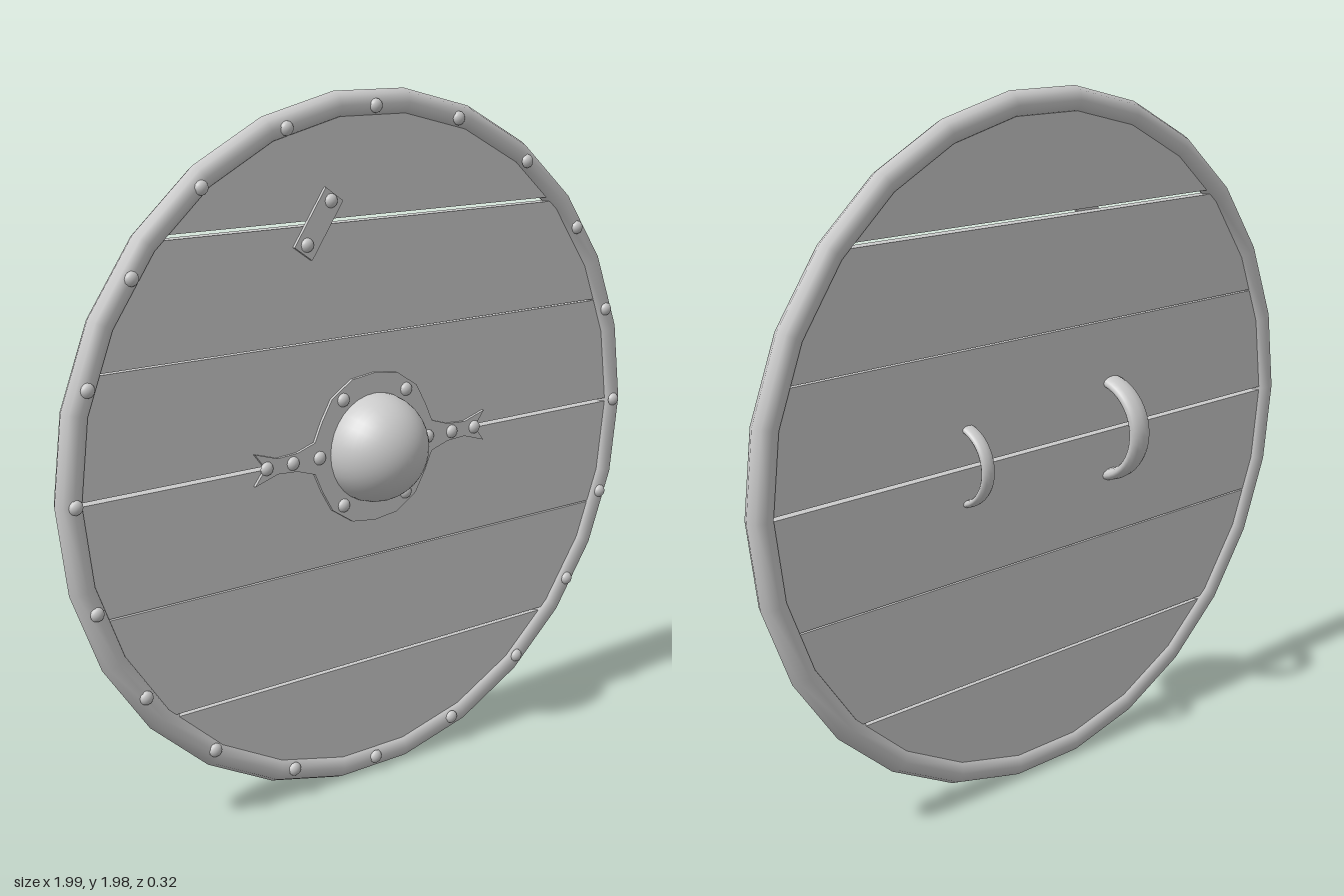
import * as THREE from 'three';

const CY = 0.993; // height of the shield centre

export function createModel() {
  const shield = new THREE.Group();
  shield.name = 'roundShield';
  const body = new THREE.Group();
  body.name = 'shieldBody';
  body.position.y = CY;
  shield.add(body);
  const mat = new THREE.MeshStandardMaterial({ color: 0xcccccc });

  const add = (name, geo, x = 0, y = 0, z = 0) => {
    const mesh = new THREE.Mesh(geo, mat);
    mesh.name = name;
    mesh.position.set(x, y, z);
    body.add(mesh);
    return mesh;
  };
  const plate = (shape, depth) => new THREE.ExtrudeGeometry(shape, { depth, bevelEnabled: false });

  // Rim: faceted ring, slightly flattened front to back
  const rim = new THREE.TorusGeometry(0.959, 0.038, 8, 26);
  rim.scale(1, 1, 0.87);
  add('rim', rim, 0, 0, -0.018);

  // Planks: horizontal slices of a disc, with [height, width] of the gaps between
  const R = 0.94;
  const gaps = [[-R, 0], [-0.64, 0.008], [-0.322, 0.004], [0, 0.01], [0.325, 0.004], [0.648, 0.013], [R, 0]];
  for (let i = 0; i < gaps.length - 1; i++) {
    const a0 = Math.asin((gaps[i][0] + gaps[i][1] / 2) / R);
    const a1 = Math.asin((gaps[i + 1][0] - gaps[i + 1][1] / 2) / R);
    const right = [];
    for (let k = 0; k <= 8; k++) {
      const a = a0 + (a1 - a0) * k / 8;
      right.push(new THREE.Vector2(R * Math.cos(a), R * Math.sin(a)));
    }
    const left = right.map(p => new THREE.Vector2(-p.x, p.y)).reverse();
    add('plank', plate(new THREE.Shape([...right, ...left]), 0.036), 0, 0, -0.036);
  }

  // Boss plate: round flange with two swallow-tailed arms, mirrored from one quadrant
  const q = [[0.41, 0.045], [0.335, 0.022], [0.27, 0.026], [0.21, 0.045], [0.185, 0.1],
    [0.15, 0.16], [0.08, 0.205], [0, 0.215]];
  const upper = [[0.375, 0], ...q, ...q.slice(0, -1).reverse().map(([x, y]) => [-x, y]), [-0.375, 0]];
  const lower = upper.slice(1, -1).reverse().map(([x, y]) => [x, -y]);
  const outline = [...upper, ...lower].map(([x, y]) => new THREE.Vector2(x, y));
  add('bossPlate', plate(new THREE.Shape(outline), 0.009));

  // Boss: domed centre
  const dome = new THREE.SphereGeometry(0.157, 32, 12, 0, Math.PI * 2, 0, Math.PI / 2);
  dome.rotateX(Math.PI / 2);
  add('bossDome', dome, 0, 0, 0.003);

  // Patch: small tilted repair plate over the top gap
  const patch = add('patch', new THREE.BoxGeometry(0.185, 0.07, 0.01), -0.19, 0.645, 0.004);
  patch.rotation.z = 0.97;

  // Rivets: flattened domes
  const rivetGeo = new THREE.SphereGeometry(0.02, 12, 6, 0, Math.PI * 2, 0, Math.PI / 2);
  rivetGeo.rotateX(Math.PI / 2);
  rivetGeo.scale(1, 1, 0.75);
  for (let i = 0; i < 20; i++) {
    const a = i * Math.PI / 10;
    add('rimRivet', rivetGeo, 0.953 * Math.cos(a), 0.948 * Math.sin(a), 0.012);
  }
  for (const s of [-1, 1]) {
    for (const x of [0.195, 0.285, 0.372]) add('armRivet', rivetGeo, s * x, 0, 0.008);
    for (const y of [-0.152, 0.152]) add('flangeRivet', rivetGeo, s * 0.112, y, 0.008);
  }
  add('patchRivet', rivetGeo, -0.15, 0.704, 0.008);
  add('patchRivet', rivetGeo, -0.23, 0.592, 0.008);

  // Handles on the back: half rings with a wide oval section
  const handle = (name, x, radius, thick, halfWidth) => {
    const geo = new THREE.TorusGeometry(radius, thick, 12, 24, Math.PI);
    geo.scale(1, 1, halfWidth / thick);
    geo.rotateZ(Math.PI / 2);
    geo.rotateY(-Math.PI / 2);
    add(name, geo, x, 0, -0.003);
  };
  handle('armStrap', -0.263, 0.143, 0.018, 0.037);
  handle('handGrip', 0.29, 0.11, 0.011, 0.022);

  return shield;
}
